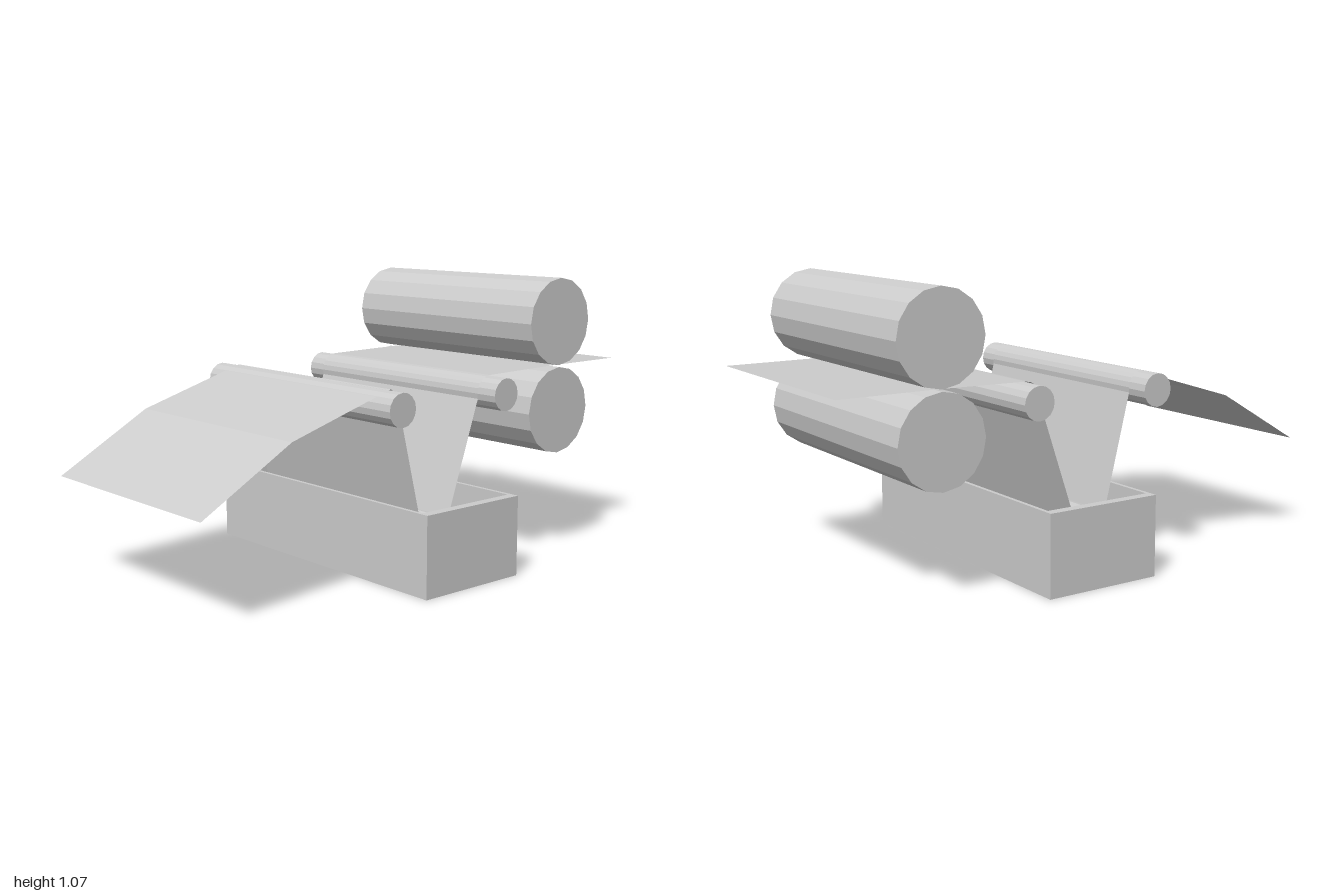
import * as THREE from 'three';

const material = new THREE.MeshStandardMaterial({ color: 0xcccccc, flatShading: true });
const sheetMaterial = new THREE.MeshStandardMaterial({ color: 0xcccccc, flatShading: true, side: THREE.DoubleSide });

// 16-sided cylinder lying along x
function roller(name, radius, length, y, z) {
  const geometry = new THREE.CylinderGeometry(radius, radius, length, 16);
  geometry.rotateZ(Math.PI / 2);
  const mesh = new THREE.Mesh(geometry, material);
  mesh.name = name;
  mesh.position.set(0, y, z);
  return mesh;
}

// [z, y] points on an arc; angles in degrees, 0 = +z, 90 = up
function arc(z, y, radius, from, to, steps) {
  return Array.from({ length: steps + 1 }, (_, i) => {
    const a = THREE.MathUtils.degToRad(from + ((to - from) * i) / steps);
    return [z + radius * Math.cos(a), y + radius * Math.sin(a)];
  });
}

// Sheet swept along x from a [z, y] profile
function sheet(name, profile, width) {
  const geometry = new THREE.PlaneGeometry(width, 1, 1, profile.length - 1);
  const pos = geometry.attributes.position;
  for (let i = 0; i < pos.count; i++) {
    const [z, y] = profile[profile.length - 1 - Math.floor(i / 2)];
    pos.setXYZ(i, pos.getX(i), y, z);
  }
  geometry.computeVertexNormals();
  const mesh = new THREE.Mesh(geometry, sheetMaterial);
  mesh.name = name;
  return mesh;
}

// Open bath: walls extruded from a frame, plus a floor
function makeTrough(width, depth, height, wallX, wallZ, floor) {
  const rect = (target, w, d) => {
    target.moveTo(-w, -d);
    target.lineTo(w, -d);
    target.lineTo(w, d);
    target.lineTo(-w, d);
    target.closePath();
    return target;
  };
  const frame = rect(new THREE.Shape(), width / 2, depth / 2);
  frame.holes.push(rect(new THREE.Path(), width / 2 - wallX, depth / 2 - wallZ));
  const wallGeometry = new THREE.ExtrudeGeometry(frame, { depth: height, bevelEnabled: false });
  wallGeometry.rotateX(-Math.PI / 2);
  const walls = new THREE.Mesh(wallGeometry, material);
  walls.name = 'troughWalls';
  const base = new THREE.Mesh(new THREE.BoxGeometry(width - 2 * wallX, floor, depth - 2 * wallZ), material);
  base.name = 'troughFloor';
  base.position.y = floor / 2;
  const trough = new THREE.Group();
  trough.name = 'trough';
  trough.add(walls, base);
  return trough;
}

export function createModel() {
  const model = new THREE.Group();
  model.name = 'paddingMachine';

  const trough = makeTrough(1.186, 0.461, 0.301, 0.037, 0.015, 0.03);
  trough.position.z = -0.058;
  model.add(trough);

  // Guide rollers and the dip roller inside the bath
  model.add(
    roller('frontGuideRoller', 0.061, 1.054, 0.664, 0.228),
    roller('dipRoller', 0.061, 1.054, 0.187, -0.01),
    roller('backGuideRoller', 0.061, 1.054, 0.666, -0.287)
  );

  // Pair of squeeze rollers
  model.add(
    roller('upperSqueezeRoller', 0.167, 0.955, 0.907, -0.637),
    roller('lowerSqueezeRoller', 0.167, 0.955, 0.566, -0.637)
  );

  // Fabric: over the front guide, under the dip roller, over the back guide, through the squeeze
  const profile = [
    [1, 0.387],
    [0.64, 0.594],
    ...arc(0.228, 0.664, 0.064, 108, 193, 5),
    ...arc(-0.01, 0.187, 0.065, 13, -197, 10),
    ...arc(-0.287, 0.666, 0.064, -17, 90, 6),
    [-0.637, 0.736],
    [-1, 0.736]
  ];
  model.add(sheet('fabric', profile, 0.886));

  return model;
}
